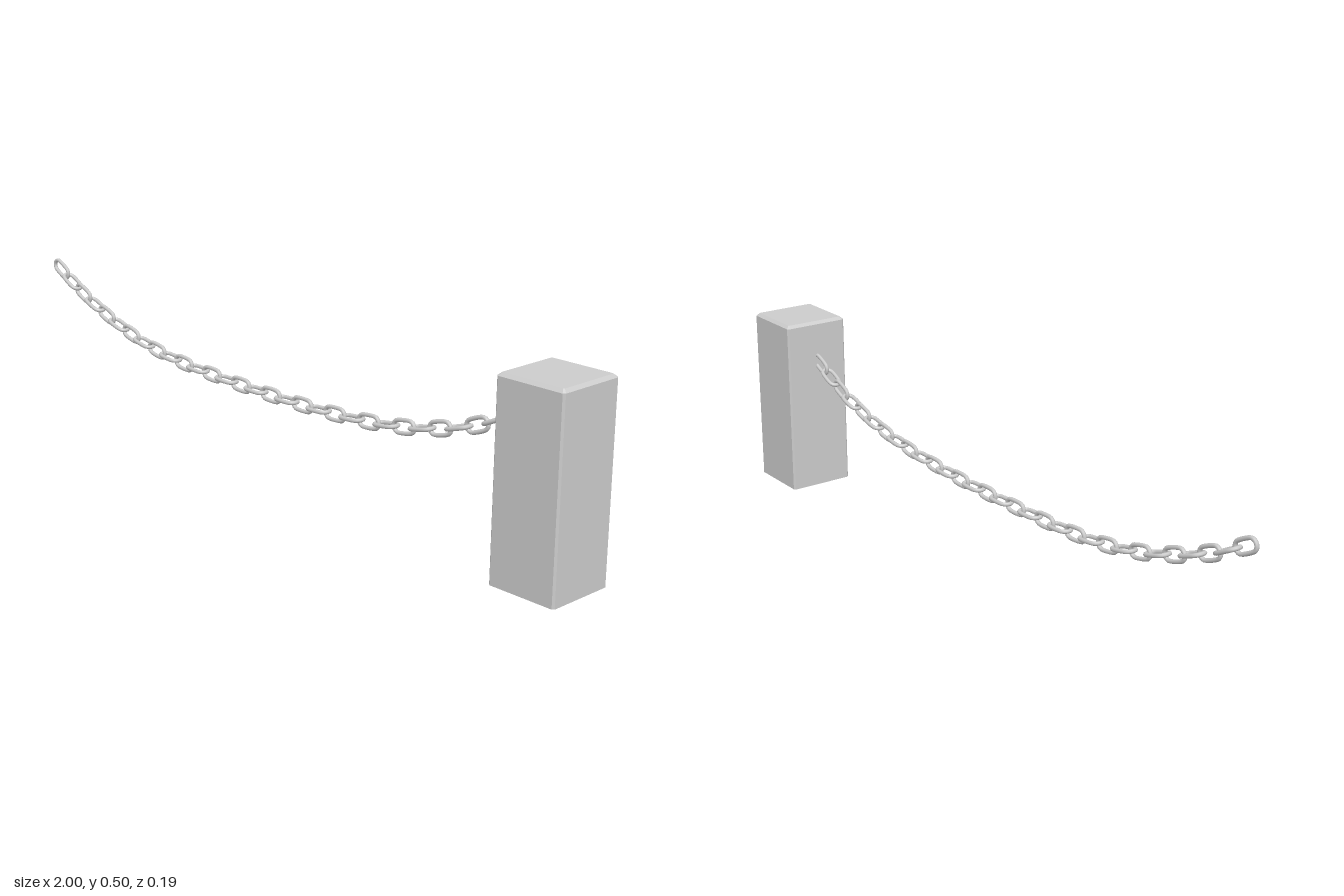
import * as THREE from 'three';

const material = new THREE.MeshStandardMaterial({ color: 0xcccccc });
const postMaterial = new THREE.MeshStandardMaterial({ color: 0xcccccc, flatShading: true, side: THREE.DoubleSide });

// Square ring with cut corners, ordered anticlockwise seen from above
function ring(y, half, cut) {
  const a = half, b = half - cut;
  return [[a, b], [a, -b], [b, -a], [-b, -a], [-a, -b], [-a, b], [-b, a], [b, a]]
    .map(([x, z]) => [x, y, z]);
}

// Hollow post with chamfered edges and an open underside
function createPost() {
  const rings = [ring(0, 0.095, 0.005), ring(0.497, 0.095, 0.005), ring(0.505, 0.086, 0.003)];
  const positions = [];
  for (let r = 0; r < rings.length - 1; r++) {
    for (let i = 0; i < 8; i++) {
      const j = (i + 1) % 8;
      const a = rings[r][i], b = rings[r][j], c = rings[r + 1][j], d = rings[r + 1][i];
      positions.push(...a, ...b, ...c, ...a, ...c, ...d);
    }
  }
  const top = rings[2];
  for (let i = 1; i < 7; i++) positions.push(...top[0], ...top[i], ...top[i + 1]);
  const geometry = new THREE.BufferGeometry();
  geometry.setAttribute('position', new THREE.Float32BufferAttribute(positions, 3));
  geometry.computeVertexNormals();
  const post = new THREE.Mesh(geometry, postMaterial);
  post.name = 'post';
  post.position.x = 0.905;
  return post;
}

// Oval link lying in its own xy plane, long axis along x
function createLinkGeometry() {
  const tube = 0.0055, length = 0.08, width = 0.043;
  const bend = width / 2 - tube;
  const straight = length / 2 - width / 2;
  const points = [];
  for (const side of [1, -1]) {
    for (let i = 0; i <= 6; i++) {
      const t = -Math.PI / 2 + (Math.PI * i) / 6;
      points.push(new THREE.Vector3(side * (straight + bend * Math.cos(t)), side * bend * Math.sin(t), 0));
    }
  }
  const path = new THREE.CatmullRomCurve3(points, true);
  return new THREE.TubeGeometry(path, 28, tube, 8, true);
}

// Sagging chain: links spaced evenly along a curve, every second one turned a quarter
function createChain() {
  const chain = new THREE.Group();
  chain.name = 'chain';
  const sag = new THREE.CatmullRomCurve3([
    [-0.966, 0.418], [-0.88, 0.373], [-0.77, 0.328], [-0.65, 0.29], [-0.53, 0.264],
    [-0.4, 0.249], [-0.16, 0.24], [0.08, 0.24], [0.2, 0.244], [0.32, 0.252],
    [0.44, 0.267], [0.56, 0.292], [0.67, 0.326], [0.79, 0.38],
  ].map(([x, y]) => new THREE.Vector3(x, y, 0)));
  const geometry = createLinkGeometry();
  const count = 31;
  for (let i = 0; i < count; i++) {
    const u = i / (count - 1);
    const tangent = sag.getTangentAt(u);
    const link = new THREE.Mesh(geometry, material);
    link.name = `chainLink${i + 1}`;
    link.position.copy(sag.getPointAt(u));
    link.rotation.order = 'ZYX';
    link.rotation.z = Math.atan2(tangent.y, tangent.x);
    link.rotation.x = i % 2 ? Math.PI / 2 : 0;
    chain.add(link);
  }
  return chain;
}

export function createModel() {
  const model = new THREE.Group();
  model.name = 'postWithChain';
  model.add(createPost(), createChain());
  return model;
}
